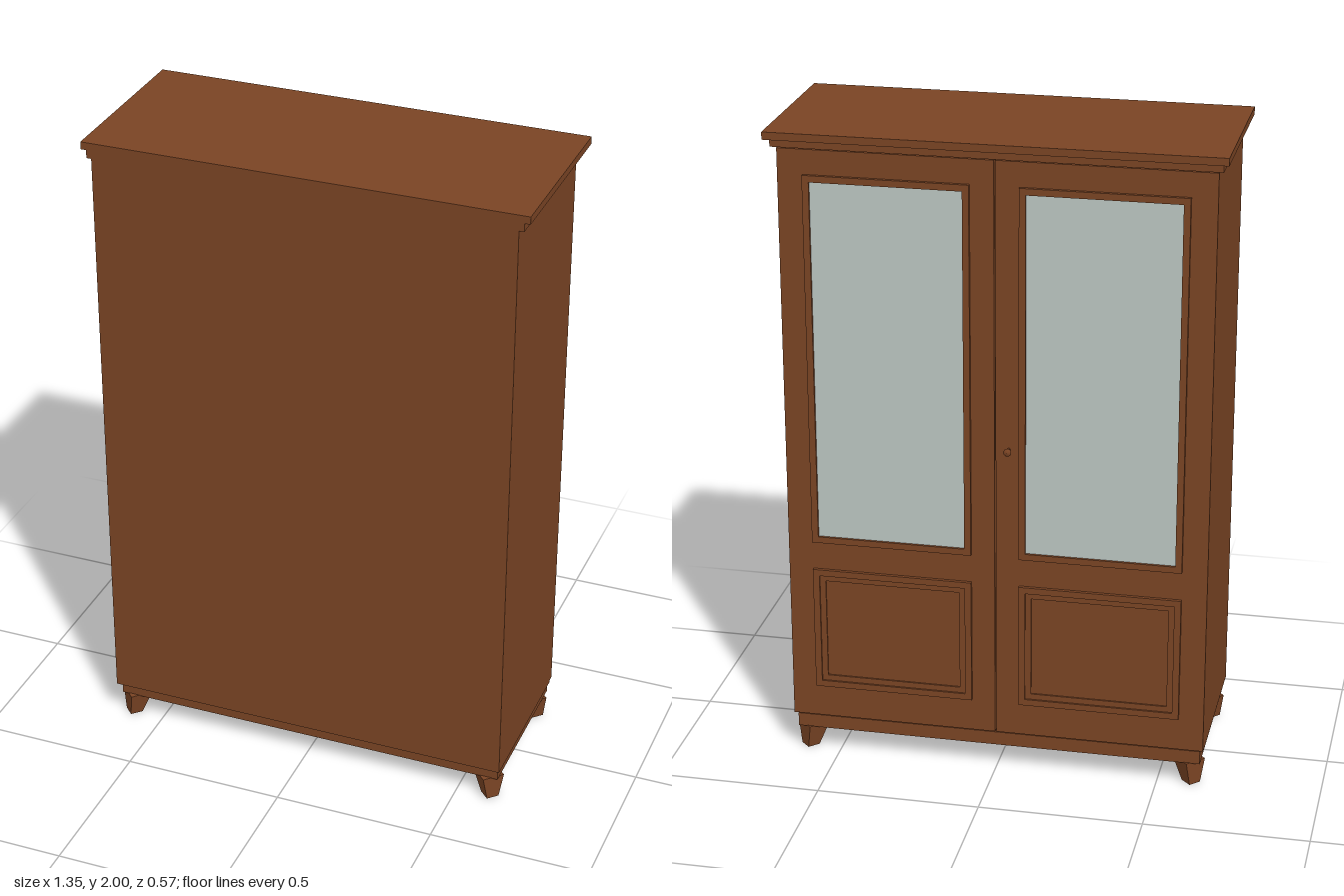
import * as THREE from 'three';

export function createModel() {
  const model = new THREE.Group();
  model.name = 'wardrobe';
  const wood = new THREE.MeshStandardMaterial({ color: 0x7a4424 });
  wood.name = 'brown wood';
  const glass = new THREE.MeshStandardMaterial({ color: 0xbcc6c2 });
  glass.name = 'mirror grey';

  function add(name, geometry, material = wood, parent = model) {
    const mesh = new THREE.Mesh(geometry, material);
    mesh.name = name;
    parent.add(mesh);
    return mesh;
  }

  // Box given by its limits on each axis
  function slab(name, [x0, x1], [y0, y1], [z0, z1], material, parent) {
    const mesh = add(name, new THREE.BoxGeometry(x1 - x0, y1 - y0, z1 - z0), material, parent);
    mesh.position.set((x0 + x1) / 2, (y0 + y1) / 2, (z0 + z1) / 2);
    return mesh;
  }

  // Rectangular moulding with an opening, standing out from the door face
  function moulding(name, x0, x1, y0, y1, width, depth, parent) {
    const shape = new THREE.Shape();
    shape.moveTo(x0, y0).lineTo(x1, y0).lineTo(x1, y1).lineTo(x0, y1).closePath();
    const hole = new THREE.Path();
    const [a, b, c, d] = [x0 + width, x1 - width, y0 + width, y1 - width];
    hole.moveTo(a, c).lineTo(a, d).lineTo(b, d).lineTo(b, c).closePath();
    shape.holes.push(hole);
    const geometry = new THREE.ExtrudeGeometry(shape, { depth, bevelEnabled: false });
    add(name, geometry, wood, parent).position.z = doorFace - depth;
  }

  const doorFace = -0.246;

  // Carcass, plinth and stepped cornice
  slab('carcass', [-0.642, 0.642], [0.118, 1.952], [-0.225, 0.283]);
  slab('plinth', [-0.632, 0.632], [0.075, 0.118], [-0.236, 0.263]);
  slab('lowerCornice', [-0.657, 0.657], [1.952, 1.977], [-0.263, 0.283]);
  slab('upperCornice', [-0.674, 0.674], [1.977, 2], [-0.283, 0.283]);

  // Two doors, each with a tall mirror and a framed lower panel
  for (const side of [1, -1]) {
    const door = new THREE.Group();
    door.name = side > 0 ? 'leftDoor' : 'rightDoor';
    model.add(door);
    const span = (a, b) => (side > 0 ? [a, b] : [-b, -a]);
    slab('doorLeaf', span(0.002, 0.642), [0.125, 1.945], [doorFace, -0.225], wood, door);

    const [x0, x1] = span(0.073, 0.566);
    moulding('mirrorFrame', x0, x1, 0.715, 1.87, 0.02, 0.011, door);
    slab('mirror', [x0 + 0.02, x1 - 0.02], [0.735, 1.85], [doorFace - 0.003, doorFace], glass, door);

    moulding('panelFrame', x0, x1, 0.23, 0.625, 0.02, 0.011, door);
    moulding('panelInnerStep', x0 + 0.02, x1 - 0.02, 0.25, 0.605, 0.018, 0.005, door);
  }

  // Turned knob on the door beside the seam
  const knobProfile = [[0, 0], [0.005, 0], [0.005, 0.015], [0.011, 0.02], [0.012, 0.026], [0.008, 0.031], [0, 0.032]]
    .map(([r, h]) => new THREE.Vector2(r, h));
  const knob = add('knob', new THREE.LatheGeometry(knobProfile, 16));
  knob.rotation.x = -Math.PI / 2;
  knob.position.set(-0.042, 1.064, doorFace);

  // Tapered feet turned to the corners and leaning outwards
  for (const sx of [1, -1]) {
    for (const sz of [1, -1]) {
      const geometry = new THREE.CylinderGeometry(0.05, 0.028, 0.077, 4).toNonIndexed();
      const p = geometry.attributes.position;
      for (let i = 0; i < p.count; i++) {
        if (p.getY(i) < 0) {
          p.setX(i, p.getX(i) + sx * 0.01);
          p.setZ(i, p.getZ(i) + sz * 0.01);
        }
      }
      geometry.computeVertexNormals();
      add('foot', geometry).position.set(sx * 0.593, 0.0385, sz > 0 ? 0.233 : -0.197);
    }
  }

  return model;
}
